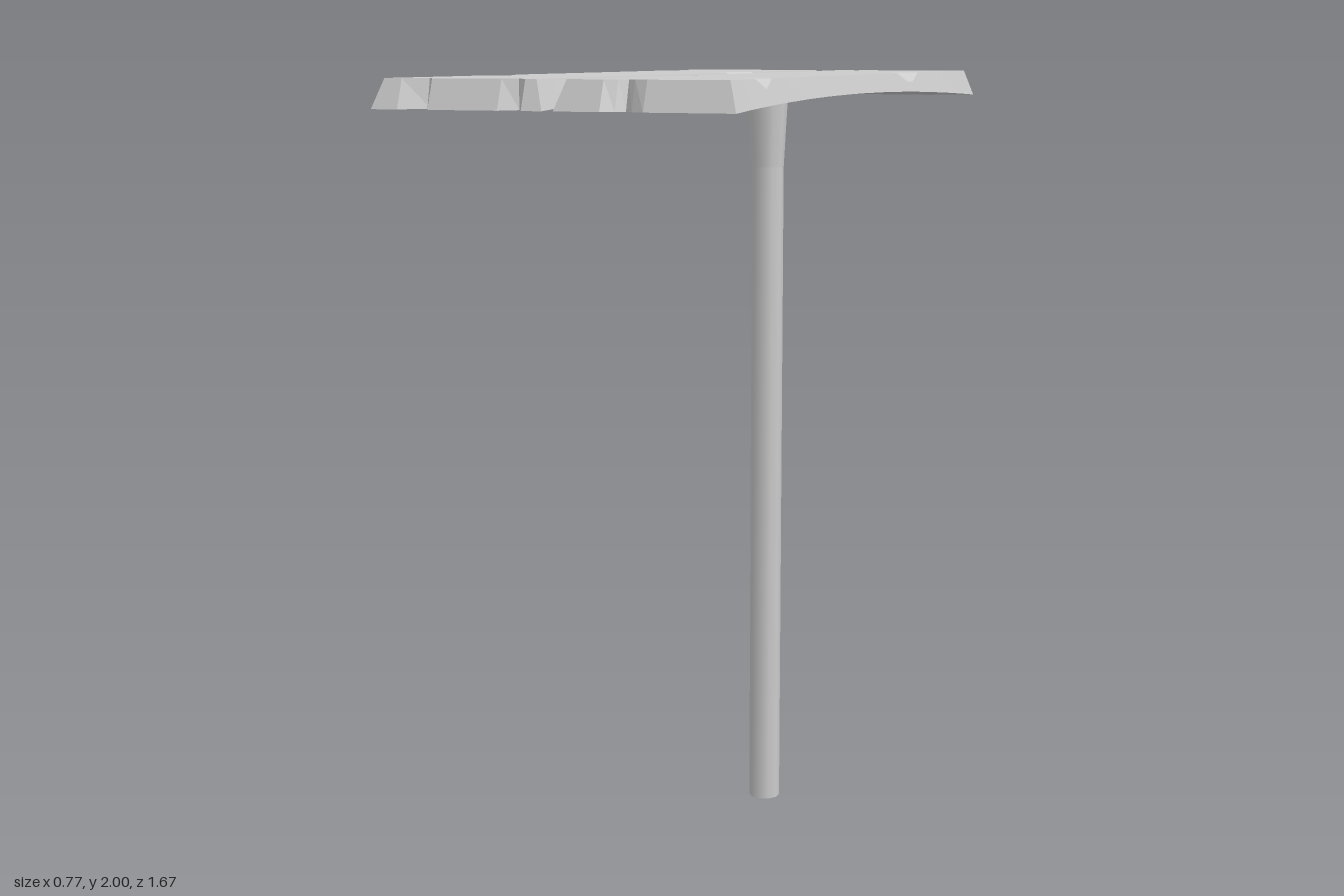
import * as THREE from 'three';

const material = new THREE.MeshStandardMaterial({ color: 0xcccccc, flatShading: true });
const smooth = new THREE.MeshStandardMaterial({ color: 0xcccccc });

const HALF_LENGTH = 0.835, TOP = 2, TOP_INSET = 0.022;
const bow = z => (z / HALF_LENGTH) ** 2;
const bottomY = z => 1.96 - 0.02 * bow(z);
const bottomHalf = z => 0.165 + 0.022 * bow(z);
const topHalf = z => 0.15 + 0.017 * bow(z);

// Cross-section stations along the plank, front to back
const stations = [0.74, 0.6, 0.44, 0.38, 0.34, 0.28, 0.14, 0, -0.1, -0.21, -0.26,
  -0.335, -0.38, -0.5, -0.57, -0.62, -0.67, -0.74];
// Chips knocked out of the upper edges: side, station, depth
const chips = [[-1, 0.38, 0.042], [-1, 0.34, 0.03], [1, -0.26, 0.04], [1, -0.335, 0.04], [-1, -0.62, 0.055]];
// End profiles: x, then depth of the notch at the bottom and top edge
const frontEnd = [[-0.128, 0, 0], [-0.095, 0.075, 0.053], [-0.06, 0, 0],
  [0.092, 0, 0], [0.115, 0.05, 0.028], [0.143, 0, 0]];
const backEnd = [[0.09, 0, 0], [0.065, 0.016, 0.012], [0.048, 0.03, 0.024], [0.03, 0.016, 0.012], [0, 0, 0]];

// Each outline point holds a bottom, middle and top position
function sidePoint(side, z) {
  const chip = chips.find(c => c[0] === side && c[1] === z);
  const b = [side * bottomHalf(z), bottomY(z), z];
  const t = [side * (topHalf(z) - (chip ? chip[2] : 0)), TOP, z];
  const m = chip ? [side * (topHalf(z) + 0.007), 1.98, z] : t;
  return [b, m, t];
}

function endPoint(sign, [x, depthBottom, depthTop]) {
  const t = [x, TOP, sign * (HALF_LENGTH - TOP_INSET - depthTop)];
  return [[x, bottomY(HALF_LENGTH), sign * (HALF_LENGTH - depthBottom)], t, t];
}

function cornerPoint(side, sign) {
  const t = [side * topHalf(HALF_LENGTH), TOP, sign * (HALF_LENGTH - TOP_INSET)];
  return [[side * bottomHalf(HALF_LENGTH), bottomY(HALF_LENGTH), sign * HALF_LENGTH], t, t];
}

function plankGeometry() {
  const positions = [];
  const tri = (a, b, c) => positions.push(...a, ...b, ...c);
  const right = stations.map(z => sidePoint(1, z));
  const left = stations.map(z => sidePoint(-1, z));
  const last = stations.length - 1;
  const front = [cornerPoint(-1, 1), ...frontEnd.map(p => endPoint(1, p)), cornerPoint(1, 1)];
  const back = [cornerPoint(1, -1), ...backEnd.map(p => endPoint(-1, p)), cornerPoint(-1, -1)];

  // Bevelled walls all round
  const outline = [...front, ...right, ...back, ...[...left].reverse()];
  outline.forEach((p, i) => {
    const q = outline[(i + 1) % outline.length];
    for (let k = 0; k < 2; k++) {
      if (k === 1 && p[1] === p[2] && q[1] === q[2]) continue;
      if (p[k] !== p[k + 1]) tri(p[k], q[k], p[k + 1]);
      if (q[k] !== q[k + 1]) tri(q[k], q[k + 1], p[k + 1]);
    }
  });

  // Top and underside: strips along the body, then the notched ends
  const face = (a, b, c) => {
    tri(a[2], b[2], c[2]);
    tri(a[0], c[0], b[0]);
  };
  for (let i = 0; i < last; i++) {
    face(left[i], right[i], right[i + 1]);
    face(left[i], right[i + 1], left[i + 1]);
  }
  for (const patch of [[left[0], ...front, right[0]], [right[last], ...back, left[last]]]) {
    for (const level of [0, 2]) {
      const contour = patch.map(p => new THREE.Vector2(p[level][0], -p[level][2]));
      for (const [a, b, c] of THREE.ShapeUtils.triangulateShape(contour, [])) {
        const [A, B, C] = [patch[a][level], patch[b][level], patch[c][level]];
        const up = (B[2] - A[2]) * (C[0] - A[0]) - (B[0] - A[0]) * (C[2] - A[2]) > 0;
        if (up === (level === 2)) tri(A, B, C);
        else tri(A, C, B);
      }
    }
  }
  const geometry = new THREE.BufferGeometry();
  geometry.setAttribute('position', new THREE.Float32BufferAttribute(positions, 3));
  geometry.computeVertexNormals();
  return geometry;
}

export function createModel() {
  const model = new THREE.Group();
  model.name = 'plankOnPost';

  // Two matching planks, the second turned end for end
  const geometry = plankGeometry();
  for (const side of [-1, 1]) {
    const plank = new THREE.Mesh(geometry, material);
    plank.name = side < 0 ? 'rightPlank' : 'leftPlank';
    plank.position.x = side * 0.199;
    if (side > 0) plank.rotation.y = Math.PI;
    model.add(plank);
  }

  // Round post with a flared head under the right plank
  const post = new THREE.Group();
  post.name = 'post';
  post.position.set(-0.147, 0, -0.763);
  const addSection = (name, y0, y1, r0, r1, open) => {
    const mesh = new THREE.Mesh(new THREE.CylinderGeometry(r1, r0, y1 - y0, 10, 1, open), smooth);
    mesh.name = name;
    mesh.position.y = (y0 + y1) / 2;
    post.add(mesh);
  };
  addSection('postShaft', 0, 1.75, 0.042, 0.042, false);
  addSection('postHead', 1.75, 1.95, 0.042, 0.053, true);
  model.add(post);
  return model;
}
